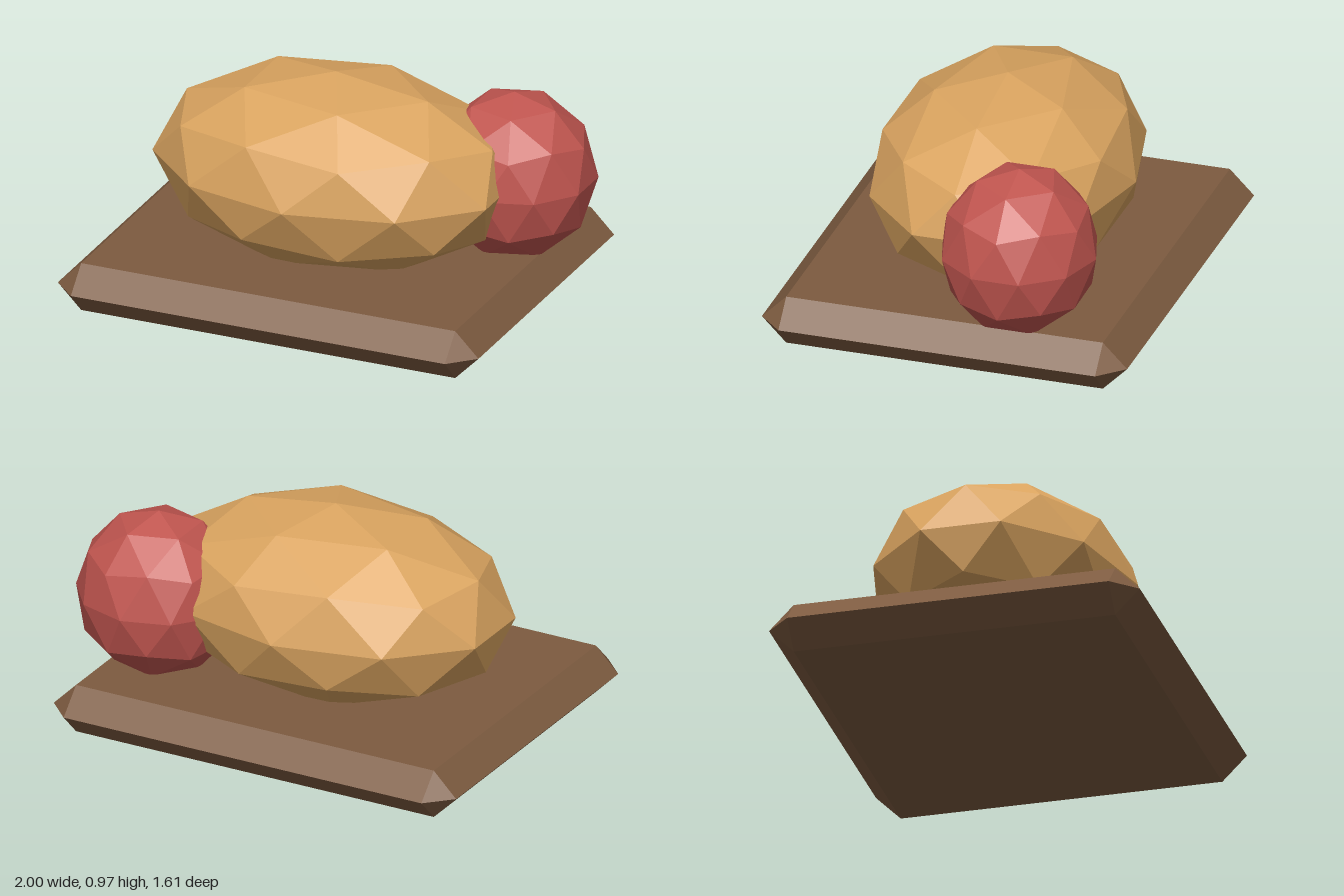
import * as THREE from 'three';
import { ConvexGeometry } from 'three/addons/geometries/ConvexGeometry.js';

const mat = (color) => new THREE.MeshStandardMaterial({ color, flatShading: true });

// Faceted ellipsoid with a vertex pointing straight up
function facetedBall(name, color, radii, position) {
  const geo = new THREE.IcosahedronGeometry(1, 1);
  geo.rotateX(-Math.atan((1 + Math.sqrt(5)) / 2));
  geo.rotateY(Math.PI / 2);
  geo.scale(...radii);
  geo.computeVertexNormals();
  const mesh = new THREE.Mesh(geo, mat(color));
  mesh.name = name;
  mesh.position.set(...position);
  return mesh;
}

// Slab whose bevels meet in a ridge at half height
function bevelledBoard(halfX, halfZ, height, bevelX, bevelZ) {
  const points = [];
  for (const sx of [-1, 1]) {
    for (const sz of [-1, 1]) {
      const x = sx * (halfX - bevelX), z = sz * (halfZ - bevelZ);
      points.push(
        new THREE.Vector3(x, 0, z),
        new THREE.Vector3(x, height, z),
        new THREE.Vector3(sx * halfX, height / 2, z),
        new THREE.Vector3(x, height / 2, sz * halfZ)
      );
    }
  }
  return new ConvexGeometry(points);
}

export function createModel() {
  const group = new THREE.Group();
  group.name = 'loafOnBoard';

  // Board
  const board = new THREE.Mesh(bevelledBoard(0.965, 0.805, 0.215, 0.107, 0.107), mat(0x7d5b40));
  board.name = 'board';
  board.position.x = -0.035;
  group.add(board);

  // Loaf and the fruit pressed against its back corner
  group.add(facetedBall('loaf', 0xd9a35f, [0.804, 0.427, 0.565], [-0.035, 0.54, 0]));
  group.add(facetedBall('fruit', 0xc0554f, [0.357, 0.372, 0.338], [0.66, 0.515, -0.277]));

  return group;
}
